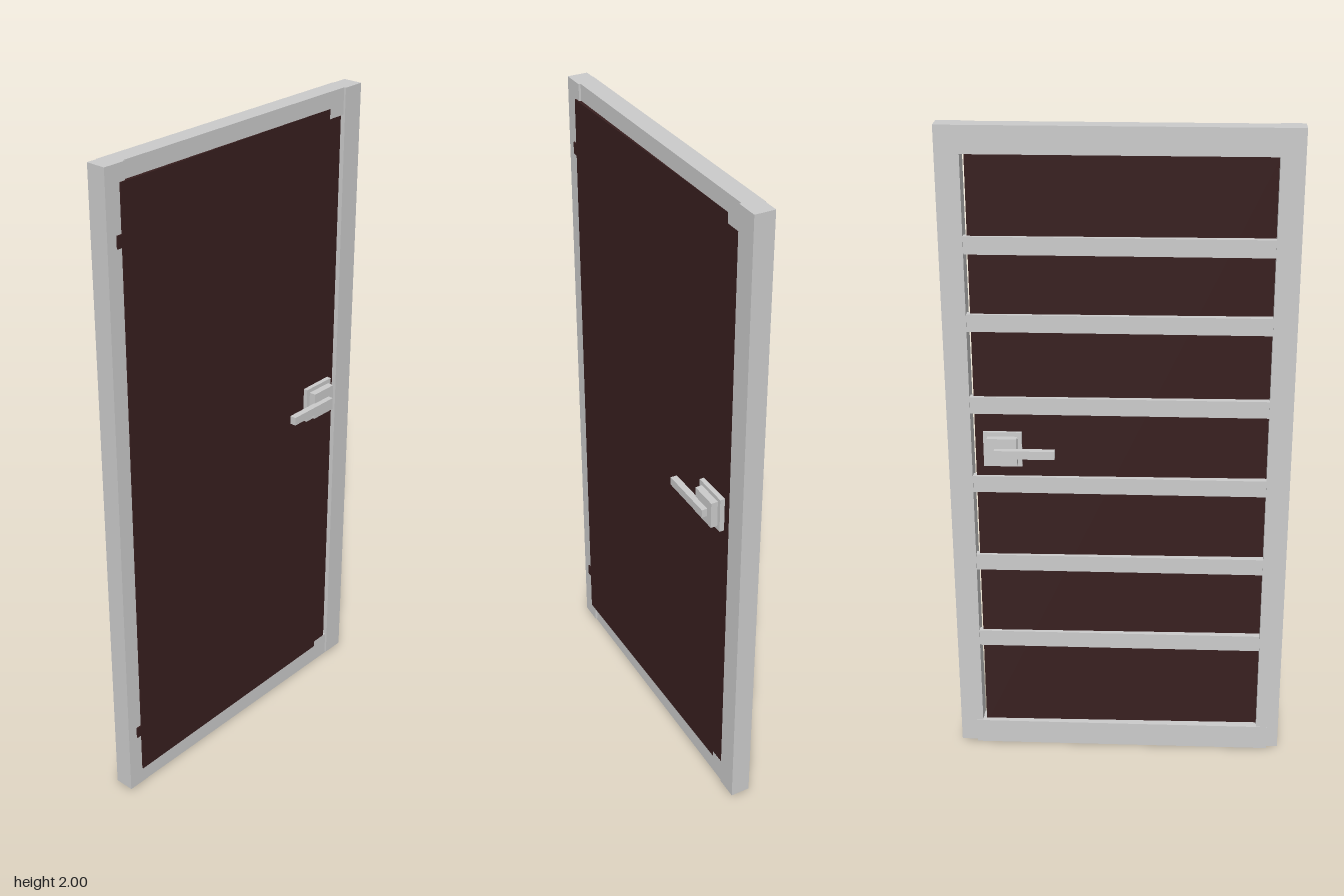
import * as THREE from 'three';

const grey = new THREE.MeshStandardMaterial({ color: 0xcccccc });
const wood = new THREE.MeshStandardMaterial({ color: 0x381f1f });

// Box given by its limits on each axis
function block(name, [x0, x1], [y0, y1], [z0, z1], material = grey) {
  const mesh = new THREE.Mesh(new THREE.BoxGeometry(x1 - x0, y1 - y0, z1 - z0), material);
  mesh.position.set((x0 + x1) / 2, (y0 + y1) / 2, (z0 + z1) / 2);
  mesh.name = name;
  return mesh;
}

// Base plate, raised rosette and flat lever on one side of the door
function createHandle(name, side) {
  const handle = new THREE.Group();
  handle.name = name;
  const depth = (a, b) => (side > 0 ? [a, b] : [-b, -a]);
  handle.add(
    block('basePlate', [0.29, 0.405], [0.98, 1.09], depth(0.01, 0.032)),
    block('rosette', [0.303, 0.392], [0.993, 1.077], depth(0.03, 0.053)),
    block('lever', [0.19, 0.37], [1.02, 1.046], depth(0.05, 0.07))
  );
  return handle;
}

export function createModel() {
  const door = new THREE.Group();
  door.name = 'door';

  // Frame: two posts, head rail and threshold
  const frame = new THREE.Group();
  frame.name = 'frame';
  frame.add(
    block('rightPost', [-0.51, -0.44], [0.007, 2], [-0.037, 0.024]),
    block('leftPost', [0.44, 0.51], [0.007, 2], [-0.037, 0.024]),
    block('headRail', [-0.475, 0.46], [1.92, 2], [-0.039, 0.0175]),
    block('threshold', [-0.475, 0.46], [0, 0.08], [-0.039, 0.0175])
  );
  door.add(frame);

  // Leaf: a slab standing slightly ajar, swung about its hinge edge
  const leaf = new THREE.Group();
  leaf.name = 'leaf';
  leaf.position.set(-0.46, 0, 0.028);
  leaf.rotation.y = 0.0125;
  leaf.add(block('panel', [0, 0.89], [0.06, 1.95], [-0.04, 0], wood));
  door.add(leaf);

  // Hinges
  for (const y of [0.21, 1.795]) {
    door.add(block('hinge', [-0.478, -0.455], [y - 0.018, y + 0.018], [0.01, 0.028], wood));
  }

  // Horizontal slats across the back
  for (const y of [0.385, 0.655, 0.92, 1.175, 1.43, 1.66]) {
    door.add(block('backSlat', [-0.442, 0.442], [y - 0.026, y + 0.026], [-0.033, -0.01]));
  }

  door.add(createHandle('frontHandle', 1), createHandle('backHandle', -1));
  return door;
}
